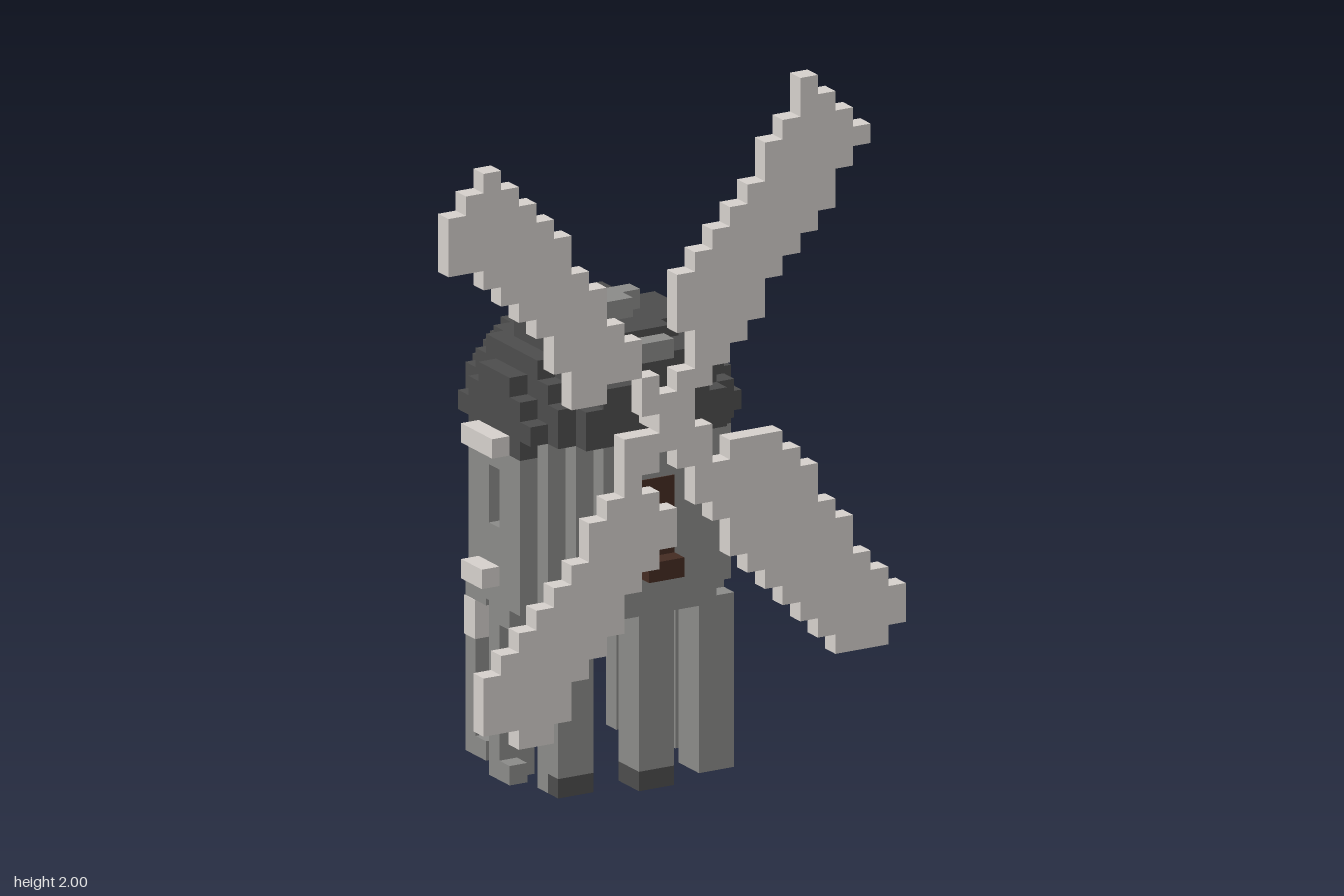
import * as THREE from 'three';
import { mergeGeometries } from 'three/addons/utils/BufferGeometryUtils.js';

const V = 2 / 36; // edge of one block

const mat = (name, color) => {
  const m = new THREE.MeshStandardMaterial({ color });
  m.name = name;
  return m;
};

// block-grid box: x columns, y layers, z rows (row 0 is the back)
function box(x0, x1, y0, y1, z0, z1) {
  const g = new THREE.BoxGeometry((x1 - x0) * V, (y1 - y0) * V, (z1 - z0) * V);
  g.translate((x0 + x1) / 2 * V, (y0 + y1) / 2 * V, ((z0 + z1) / 2 - 6.5) * V);
  return g;
}

// one layer from the half-width of each z row
const layer = (widths, y0, y1, firstRow = 0) =>
  widths.map((w, k) => box(-w, w, y0, y1, firstRow + k, firstRow + k + 1));

// upright columns in the sail plane, from [bottom, top] spans
const columns = (first, spans) =>
  spans.map(([a, b], k) => box(first + k, first + k + 1, a, b, 12, 13));

export function createModel() {
  const group = new THREE.Group();
  const pale = mat('pale sail', 0xd4cfcb);
  const stone = mat('grey stone', 0x8a8a88);
  const dark = mat('dark roof', 0x4c4c4c);
  const brown = mat('brown door', 0x442b22);
  const add = (name, material, boxes) => {
    const mesh = new THREE.Mesh(mergeGeometries(boxes), material);
    mesh.name = name;
    group.add(mesh);
  };

  // tower body, with a recessed window in each side
  const plan = [3, 4, 5, 6, 6, 6, 6, 6, 5, 4, 3];
  const windowPlan = plan.map((w, j) => (j === 5 ? 5 : w));
  add('towerBody', stone, [
    ...layer(plan, 9, 13), ...layer(windowPlan, 13, 16), ...layer(plan, 16, 17),
    ...layer([3, 4], 17, 18), ...layer([5, 4, 3], 17, 18, 8),
  ]);

  // domed roof, with a small ridge at the back
  add('roof', dark, [
    ...layer([5, 6, 6, 6, 6, 6], 17, 18, 2),
    ...layer([4, 5, 6, 6, 6, 6, 6, 6, 6, 5, 4], 18, 19),
    ...layer([4, 5, 5, 6, 6, 6, 6, 6, 5, 5, 4], 19, 20),
    ...layer([3, 4, 5, 5, 6, 6, 6, 5, 5, 4, 3], 20, 21),
    ...layer([1, 3, 4, 5, 5, 5, 5, 5, 4, 3, 1], 21, 22),
    ...layer([1, 1, 2, 3, 4, 4, 4, 3, 2], 22, 23),
    box(-1, 1, 23, 24, 4, 5), box(-2, 0, 23, 24, 5, 6),
  ]);
  add('roofCap', stone, [
    box(0, 2, 23, 24, 5, 6), box(-1, 1, 23, 24, 6, 7), box(-2, -1, 23, 24, 5.9, 6.05)]);
  add('roofFrontStone', stone, [box(-1, 1, 22, 23, 10, 11)]);

  // ring of eight legs
  const legs = [box(-1, 1, 1, 9, 9, 11), box(-1, 1, 1, 9, 0, 2)];
  for (const s of [-1, 1]) {
    const side = (a, b, ...r) => box(Math.min(s * a, s * b), Math.max(s * a, s * b), ...r);
    legs.push(
      side(3, 5, s < 0 ? 1 : 0, 9, 9, 10), side(3, 5, 0, 9, 8, 9),
      side(3, 5, 0, 9, 1, 2), side(4, 5, 0, 1, 2, 3), side(4, 5, 8, 9, 2, 3),
      side(4, 6, 0, 9, 5, 6), side(5, 6, 8, 9, 6, 7), side(5, 6, 0, 1, 6, 7));
  }
  add('legs', stone, legs);
  // pale stones set into the legs of the right side
  add('paleLegStones', pale, [
    box(-5.05, -3, 6, 8, 0.95, 2.03), box(-4, -2.97, 0, 2, 0.95, 2.03),
    box(-6.05, -5, 4, 5, 4.95, 6.05)]);
  add('darkFeet', dark, [
    box(-1, 1, 0, 1, 9, 11), box(-1, 1, 0, 1, 0, 2), box(-5, -3, 0, 1, 9, 10)]);

  // door, step and back opening
  add('door', brown, [box(-1, 1, 11, 16, 10.95, 11.05)]);
  add('doorStep', brown, [box(-1, 1, 11, 12, 11, 12)]);
  add('backOpening', dark, [box(-1, 1, 12, 13, -0.03, 0.05)]);

  // side sills and a pale front stone
  add('sills', pale, [
    box(6, 7, 10, 11, 4, 6), box(-7, -6, 10, 11, 4, 6), box(-7, -6, 17, 18, 4, 7),
    box(2, 3.05, 17, 18, 10, 11.05)]);

  // sails on their shaft
  add('sailShaft', pale, [box(-1, 0, 19, 20, 10, 12)]);
  add('sailHub', pale, [box(-1, 0, 18, 21, 12, 13), box(0, 1, 17, 22, 12, 13), box(-3, -1, 17, 19, 12, 13)]);
  add('sailUpperRight', pale, columns(0, [
    [24, 27], [21, 28], [22, 29], [23, 30], [24, 31], [26, 33], [27, 34], [28, 36], [29, 35], [31, 34], [32, 33]]));
  add('sailUpperLeft', pale, columns(-13, [
    [29, 32], [29, 33], [28, 34], [27, 33], [26, 32], [25, 31], [23, 30], [21, 28], [21, 27], [22, 25], [22, 24], [20, 22]]));
  add('sailLowerRight', pale, columns(1, [
    [15, 19], [14, 17], [12, 18], [11, 18], [10, 18], [9, 17], [8, 16], [7, 14], [6, 13], [6, 11], [6, 10], [7, 9]]));
  add('sailLowerLeft', pale, columns(-11, [
    [5, 8], [5, 9], [4, 10], [4, 11], [5, 12], [7, 13], [8, 15], [9, 16], [11, 17], [12, 16], [13, 15]]));

  return group;
}
